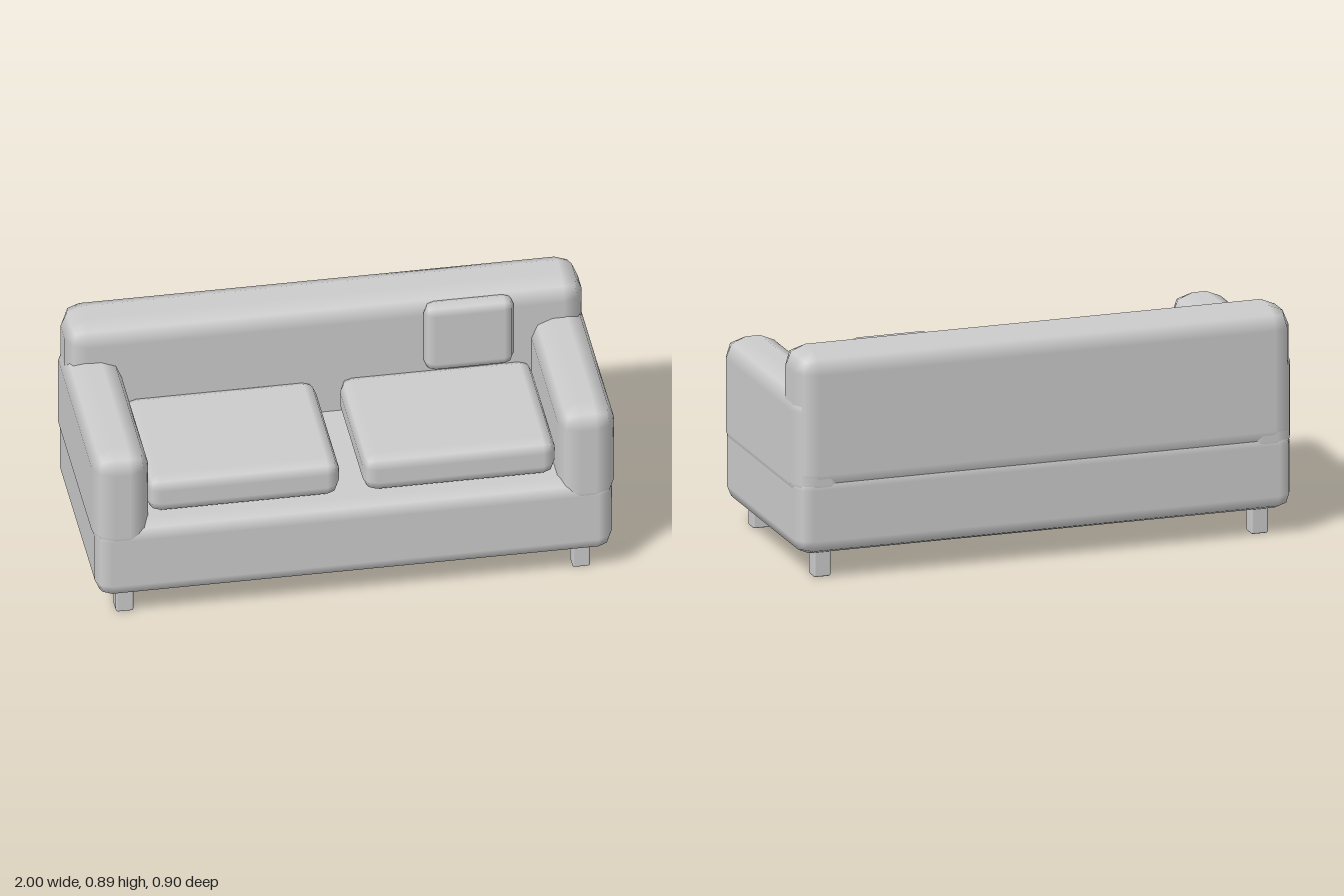
import * as THREE from 'three';
import { RoundedBoxGeometry } from 'three/addons/geometries/RoundedBoxGeometry.js';

export function createModel() {
  const sofa = new THREE.Group();
  sofa.name = 'sofa';
  const fabric = new THREE.MeshStandardMaterial({ color: 0xcccccc });
  fabric.name = 'light grey';

  // Soft box given by its extents on each axis and its edge radius
  const softBox = (name, [x0, x1], [y0, y1], [z0, z1], radius) => {
    const geometry = new RoundedBoxGeometry(x1 - x0, y1 - y0, z1 - z0, 1, radius);
    const mesh = new THREE.Mesh(geometry, fabric);
    mesh.name = name;
    mesh.position.set((x0 + x1) / 2, (y0 + y1) / 2, (z0 + z1) / 2);
    sofa.add(mesh);
    return mesh;
  };

  // Body
  softBox('base', [-0.99, 0.99], [0.1, 0.42], [-0.442, 0.445], 0.06);
  softBox('backrest', [-0.99, 0.99], [0.34, 0.893], [-0.449, -0.2], 0.08);

  // Parts on both sides
  for (const [side, s] of [['left', 1], ['right', -1]]) {
    const span = (a, b) => (s > 0 ? [a, b] : [-b, -a]);
    softBox(side + 'Arm', span(0.784, 1), [0.3, 0.744], [-0.442, 0.449], 0.08);
    softBox(side + 'SeatCushion', span(0.045, 0.782), [0.418, 0.574], [-0.22, 0.375], 0.05);
    softBox(side + 'FrontLeg', span(0.84, 0.908), [0, 0.105], [0.317, 0.383], 0.008);
    softBox(side + 'BackLeg', span(0.84, 0.908), [0, 0.105], [-0.377, -0.31], 0.008);
  }

  // Loose cushion leaning on the backrest
  softBox('throwPillow', [0.37, 0.715], [0.574, 0.872], [-0.238, -0.155], 0.041);

  return sofa;
}
